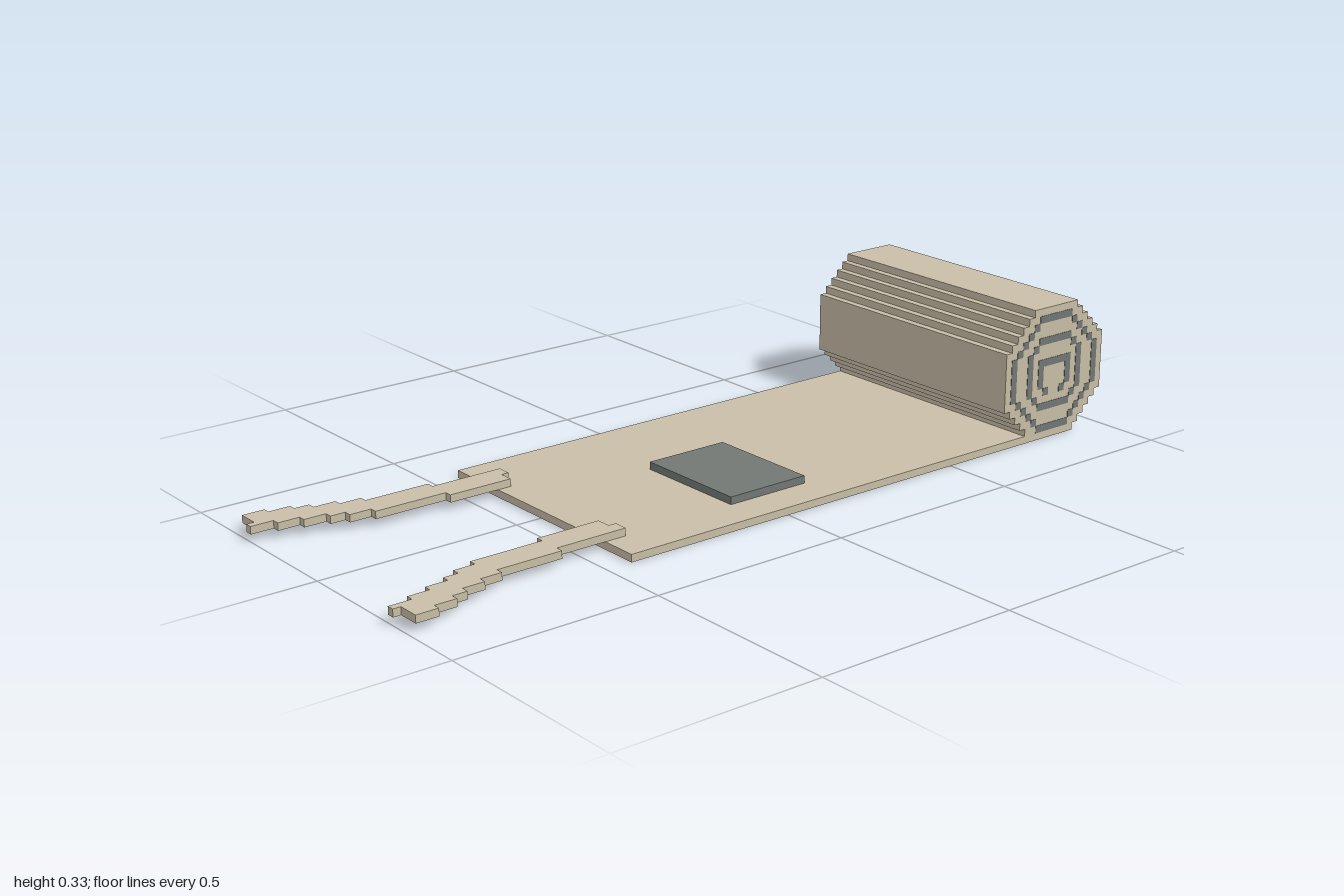
import * as THREE from 'three';

const V = 0.0182;        // size of one step
const HALF = 0.327;      // half width of mat and roll
const BACK = -1;         // rear end of the roll

export function createModel() {
  const model = new THREE.Group();
  model.name = 'bedroll';

  const canvas = new THREE.MeshStandardMaterial({ color: 0xc9bea7 });
  canvas.name = 'sandCanvas';
  const slate = new THREE.MeshStandardMaterial({ color: 0x727875 });
  slate.name = 'slateGrey';

  const add = (geometry, material, name, parent = model) => {
    const mesh = new THREE.Mesh(geometry, material);
    mesh.name = name;
    parent.add(mesh);
    return mesh;
  };
  const box = (x0, x1, y0, y1, z0, z1) =>
    new THREE.BoxGeometry(x1 - x0, y1 - y0, z1 - z0)
      .translate((x0 + x1) / 2, (y0 + y1) / 2, (z0 + z1) / 2);
  const extrude = (points, depth) => new THREE.ExtrudeGeometry(
    new THREE.Shape(points.map(([x, y]) => new THREE.Vector2(x, y))),
    { depth, bevelEnabled: false });

  // Unrolled mat and the pad lying on it
  add(box(-HALF, HALF, 0, V, BACK + 5 * V, 0.435), canvas, 'mat');
  add(box(-0.056, 0.235, V, 2 * V, -0.128, 0.088), slate, 'pad');

  // Stepped octagonal roll: inset of each row above the mat
  const insets = [4, 3, 2, 1, 0, 0, 0, 0, 0, 0, 0, 0, 1, 2, 3, 4, 5];
  const near = [], far = [];
  insets.forEach((n, i) => {
    if (i && n === insets[i - 1]) { near.pop(); far.pop(); }
    else {
      near.push([BACK + (18 - n) * V, (i + 1) * V]);
      far.push([BACK + n * V, (i + 1) * V]);
    }
    near.push([BACK + (18 - n) * V, (i + 2) * V]);
    far.push([BACK + n * V, (i + 2) * V]);
  });
  add(extrude([...near, ...far.reverse()], 2 * HALF)
    .rotateY(-Math.PI / 2).translate(HALF, 0, 0), canvas, 'roll');

  // Dark gaps between the layers on both ends: column, row, width, height
  const gaps = [
    [6, 1, 6, 1], [6, 16, 6, 1], [1, 6, 1, 6], [16, 6, 1, 6],
    [6, 4, 6, 1], [6, 13, 6, 1], [4, 6, 1, 6], [13, 6, 1, 6],
    [6, 7, 6, 1], [6, 8, 1, 3], [11, 8, 1, 3], [7, 11, 1, 1], [10, 11, 1, 1],
  ];
  const corners = [[5, 2], [4, 3], [3, 4], [2, 5], [5, 5]];
  for (const [c, r] of corners)
    for (const col of [c, 17 - c])
      for (const row of [r, 17 - r]) gaps.push([col, row, 1, 1]);
  for (const side of [-1, 1]) {
    const end = new THREE.Group();
    end.name = side > 0 ? 'leftEndLayers' : 'rightEndLayers';
    model.add(end);
    const x = side * HALF;
    for (const [c, r, w, h] of gaps) {
      add(box(x - 0.001, x + 0.001, (18 - r - h) * V, (18 - r) * V,
        BACK + (18 - c - w) * V, BACK + (18 - c) * V), slate, 'layerGap', end);
    }
  }

  // Stepped tie straps: corners of the inner and outer edges as [x, z]
  const steps = (list) => list.flatMap(([x, z0, z1]) => [[x, z0], [x, z1]]);
  const inner = steps([
    [0.201, 0.381, 0.4], [0.165, 0.4, 0.562], [0.183, 0.562, 0.744],
    [0.201, 0.744, 0.798], [0.22, 0.798, 0.835], [0.238, 0.835, 0.89],
    [0.256, 0.89, 0.944], [0.274, 0.944, 1],
  ]);
  const outer = steps([
    [0.236, 0.381, 0.562], [0.255, 0.562, 0.726], [0.273, 0.726, 0.78],
    [0.291, 0.78, 0.835], [0.31, 0.835, 0.872], [0.328, 0.872, 0.926],
    [0.345, 0.926, 0.981], [0.292, 0.981, 1],
  ]);
  const outline = [...inner, ...outer.reverse()];
  for (const side of [-1, 1]) {
    add(extrude(outline.map(([x, z]) => [side * x, z]), V)
      .rotateX(Math.PI / 2).translate(0, 2 * V, 0),
    canvas, side > 0 ? 'leftStrap' : 'rightStrap');
  }

  return model;
}
